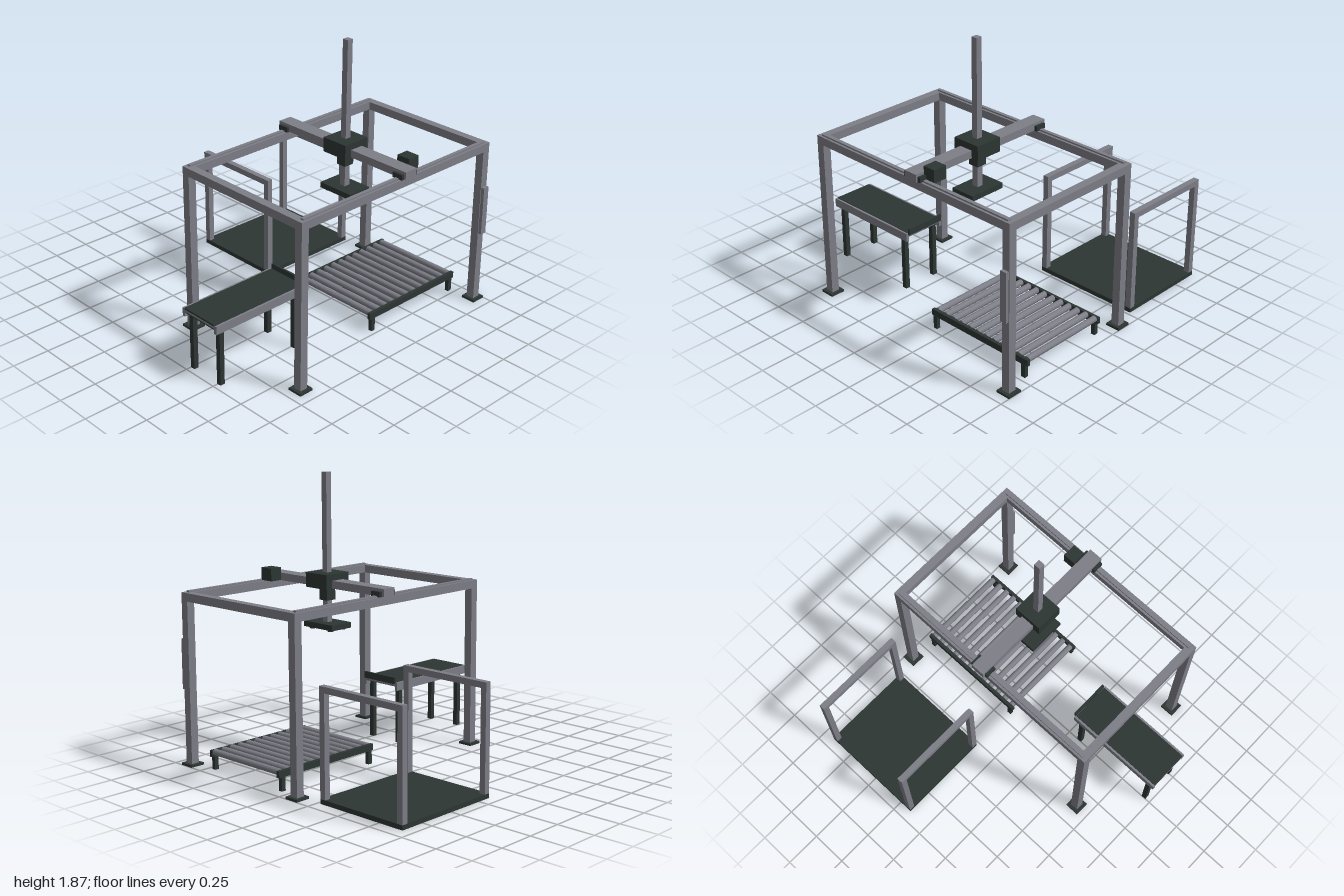
import * as THREE from 'three';

export function createModel() {
  const model = new THREE.Group();
  model.name = 'palletizingCell';
  const grey = new THREE.MeshStandardMaterial({ color: 0x7d7e87 });
  grey.name = 'aluminium grey';
  const dark = new THREE.MeshStandardMaterial({ color: 0x2d3634 });
  dark.name = 'dark slate';

  const group = (name) => {
    const g = new THREE.Group();
    g.name = name;
    model.add(g);
    return g;
  };
  // Box given by its min and max along each axis
  const box = (parent, name, mat, [x0, x1], [y0, y1], [z0, z1]) => {
    const m = new THREE.Mesh(new THREE.BoxGeometry(x1 - x0, y1 - y0, z1 - z0), mat);
    m.position.set((x0 + x1) / 2, (y0 + y1) / 2, (z0 + z1) / 2);
    m.name = name;
    parent.add(m);
    return m;
  };
  const around = (c, w) => [c - w / 2, c + w / 2];
  // Cylinder lying along z
  const roller = (parent, name, mat, r, length, x, y, z) => {
    const m = new THREE.Mesh(new THREE.CylinderGeometry(r, r, length, 16), mat);
    m.rotation.x = Math.PI / 2;
    m.position.set(x, y, z);
    m.name = name;
    parent.add(m);
  };

  const midZ = 0.388;

  // Gantry frame: columns, feet, top beams and linear rails
  const frame = group('gantryFrame');
  const colX = [-0.645, 0.95], colZ = [-0.107, 0.884], w = 0.055;
  for (const x of colX) {
    for (const z of colZ) {
      box(frame, 'column', grey, around(x, w), [0.015, 1.077], around(z, w));
      box(frame, 'foot', dark, around(x, 0.1), [0, 0.015], around(z, 0.1));
    }
    box(frame, 'sideBeam', grey, around(x, w), [1.077, 1.131], [colZ[0] + w / 2, colZ[1] - w / 2]);
  }
  for (const z of colZ) {
    box(frame, 'longBeam', grey, [colX[0] - w / 2, colX[1] + w / 2], [1.077, 1.131], around(z, w));
    box(frame, 'linearRail', grey, colX, [1.131, 1.141], around(z, 0.025));
  }
  box(frame, 'controlPanel', grey, around(0.95, 0.045), [0.5, 0.83], [0.911, 0.934]);

  // Travelling bridge with its carriages and drive motor
  const bridge = group('bridge');
  const headX = 0.208;
  box(bridge, 'bridgeBeam', grey, around(headX, 0.096), [1.136, 1.186], [-0.16, 0.935]);
  for (const z of colZ) {
    box(bridge, 'carriage', dark, around(headX, 0.135), [1.134, 1.168], around(z, 0.075));
  }
  box(bridge, 'driveMotor', dark, [0.256, 0.342], [1.137, 1.222], [0.777, 0.872]);

  // Lifting head: housing, guide, vertical mast and gripper
  const head = group('liftHead');
  box(head, 'headHousing', dark, around(headX, 0.198), [1.133, 1.228], around(midZ, 0.19));
  box(head, 'mastGuide', dark, around(headX, 0.075), [1.048, 1.133], around(midZ, 0.07));
  box(head, 'mast', grey, around(headX, 0.042), [0.9, 1.87], around(midZ, 0.042));
  box(head, 'gripperPlate', dark, around(headX, 0.172), [0.868, 0.904], around(midZ, 0.26));
  for (const sx of [-1, 1]) {
    for (const sz of [-1, 1]) {
      const pad = new THREE.Mesh(new THREE.CylinderGeometry(0.018, 0.021, 0.012, 16), dark);
      pad.position.set(headX + sx * 0.053, 0.863, midZ + sz * 0.083);
      pad.name = 'suctionPad';
      head.add(pad);
    }
  }

  // Belt conveyor on the right-hand side
  const belt = group('beltConveyor');
  box(belt, 'belt', dark, [-0.998, -0.292], [0.4, 0.433], around(midZ, 0.28));
  box(belt, 'endStop', dark, [-0.289, -0.275], [0.42, 0.465], around(midZ, 0.28));
  for (const s of [-1, 1]) {
    box(belt, 'sideRail', grey, [-1, -0.288], [0.374, 0.43], around(midZ + s * 0.144, 0.022));
    for (const x of [-0.947, -0.342]) {
      box(belt, 'leg', dark, around(x, 0.033), [0, 0.4], around(midZ + s * 0.122, 0.033));
    }
  }
  for (const x of [-0.984, -0.3]) {
    roller(belt, 'endRoller', grey, 0.016, 0.27, x, 0.414, midZ);
  }

  // Roller conveyor
  const rollers = group('rollerConveyor');
  for (const s of [-1, 1]) {
    const z = midZ + s * 0.317;
    box(rollers, 'rollerRail', dark, [0.128, 0.942], [0.087, 0.13], around(z, 0.023));
    for (const x of [0.157, 0.908]) {
      box(rollers, 'rollerLeg', dark, around(x, 0.03), [0, 0.087], around(z, 0.027));
    }
  }
  for (let i = 0; i < 12; i++) {
    roller(rollers, 'roller', grey, 0.021, 0.612, 0.157 + i * 0.069, 0.117, midZ);
  }

  // Pallet station behind the gantry: base plate and two guard frames
  const station = group('palletStation');
  box(station, 'basePlate', dark, [0.157, 0.918], [0, 0.03], [-0.93, -0.272]);
  for (const x of [0.177, 0.898]) {
    for (const z of [-0.91, -0.292]) {
      box(station, 'guardPost', grey, around(x, 0.04), [0.03, 0.677], around(z, 0.04));
    }
    box(station, 'guardTopBar', grey, around(x, 0.04), [0.677, 0.716], [-0.93, -0.272]);
  }

  return model;
}
